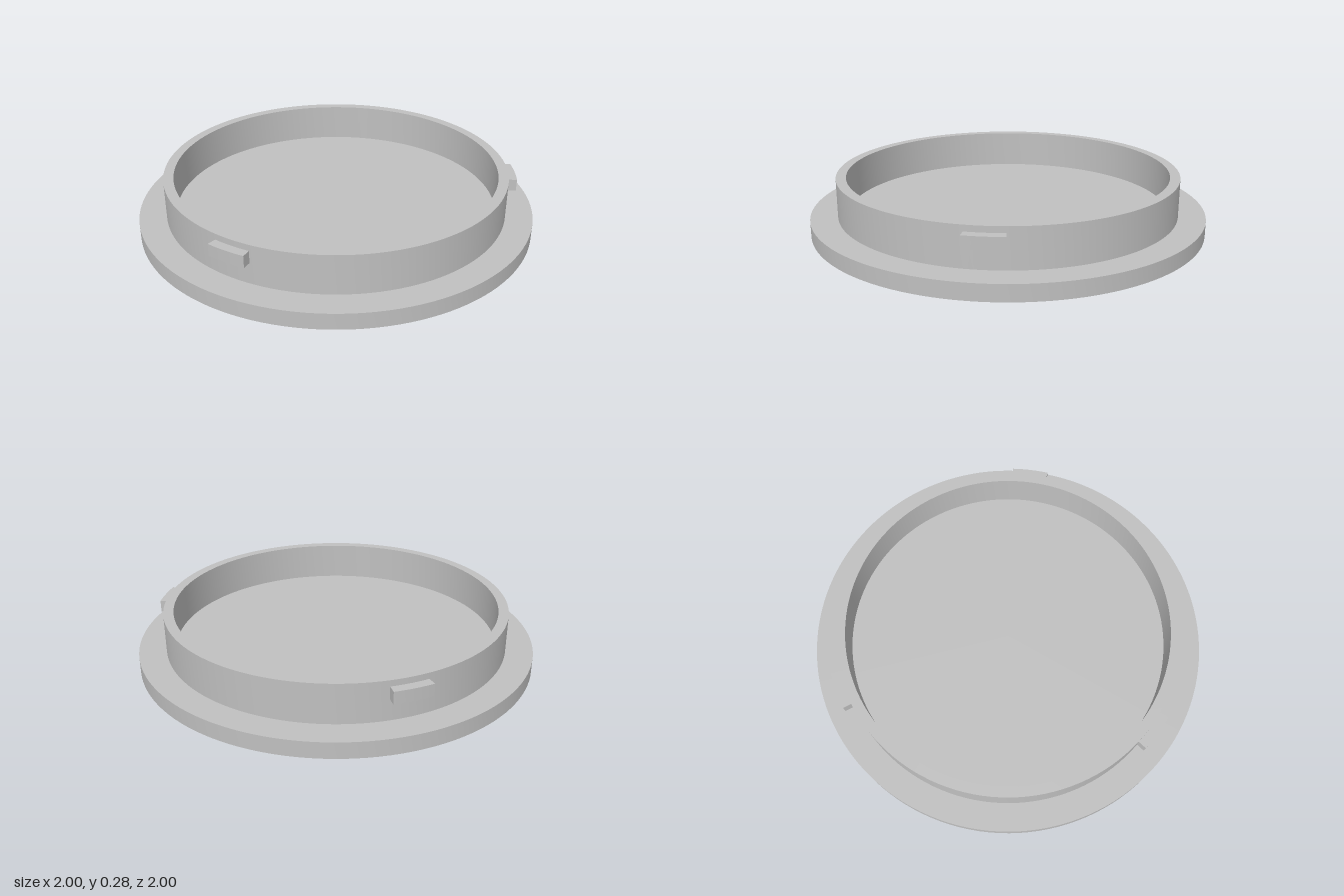
import * as THREE from 'three';
import { toCreasedNormals } from 'three/addons/utils/BufferGeometryUtils.js';

const PLATE_TOP = 0.08, RIM_TOP = 0.275;
const RIM_OUTER = 0.865, RIM_INNER = 0.815;

// Solid of revolution with sharp edges from [radius, height] pairs
function turned(profile) {
  const points = profile.map(([r, y]) => new THREE.Vector2(r, y));
  return toCreasedNormals(new THREE.LatheGeometry(points, 128), 0.6);
}

// Curved block following the rim between two radii
function arcBlock(inner, outer, sweep, height) {
  const shape = new THREE.Shape();
  shape.absarc(0, 0, outer, 0, sweep, false);
  shape.absarc(0, 0, inner, sweep, 0, true);
  shape.closePath();
  const geometry = new THREE.ExtrudeGeometry(shape, { depth: height, bevelEnabled: false, curveSegments: 8 });
  geometry.rotateX(-Math.PI / 2);
  return toCreasedNormals(geometry, 0.6);
}

export function createModel() {
  const model = new THREE.Group();
  model.name = 'twistLockCap';
  const grey = new THREE.MeshStandardMaterial({ color: 0xc0c0c0 });
  grey.name = 'plain grey';

  const add = (name, geometry) => {
    const mesh = new THREE.Mesh(geometry, grey);
    mesh.name = name;
    model.add(mesh);
    return mesh;
  };

  // Flat base disc
  add('basePlate', turned([[0, 0], [1, 0], [1, PLATE_TOP], [0, PLATE_TOP]]));

  // Upright ring standing on the disc
  add('rim', turned([[RIM_OUTER, PLATE_TOP], [RIM_OUTER, RIM_TOP], [RIM_INNER, RIM_TOP], [RIM_INNER, PLATE_TOP]]));

  // Three locking tabs around the rim
  const tab = arcBlock(RIM_OUTER - 0.01, 0.91, THREE.MathUtils.degToRad(12), 0.06);
  for (let i = 0; i < 3; i++) {
    const mesh = add(`lockingTab${i + 1}`, tab);
    mesh.position.y = 0.185;
    mesh.rotation.y = (i * Math.PI * 2) / 3;
  }
  return model;
}
